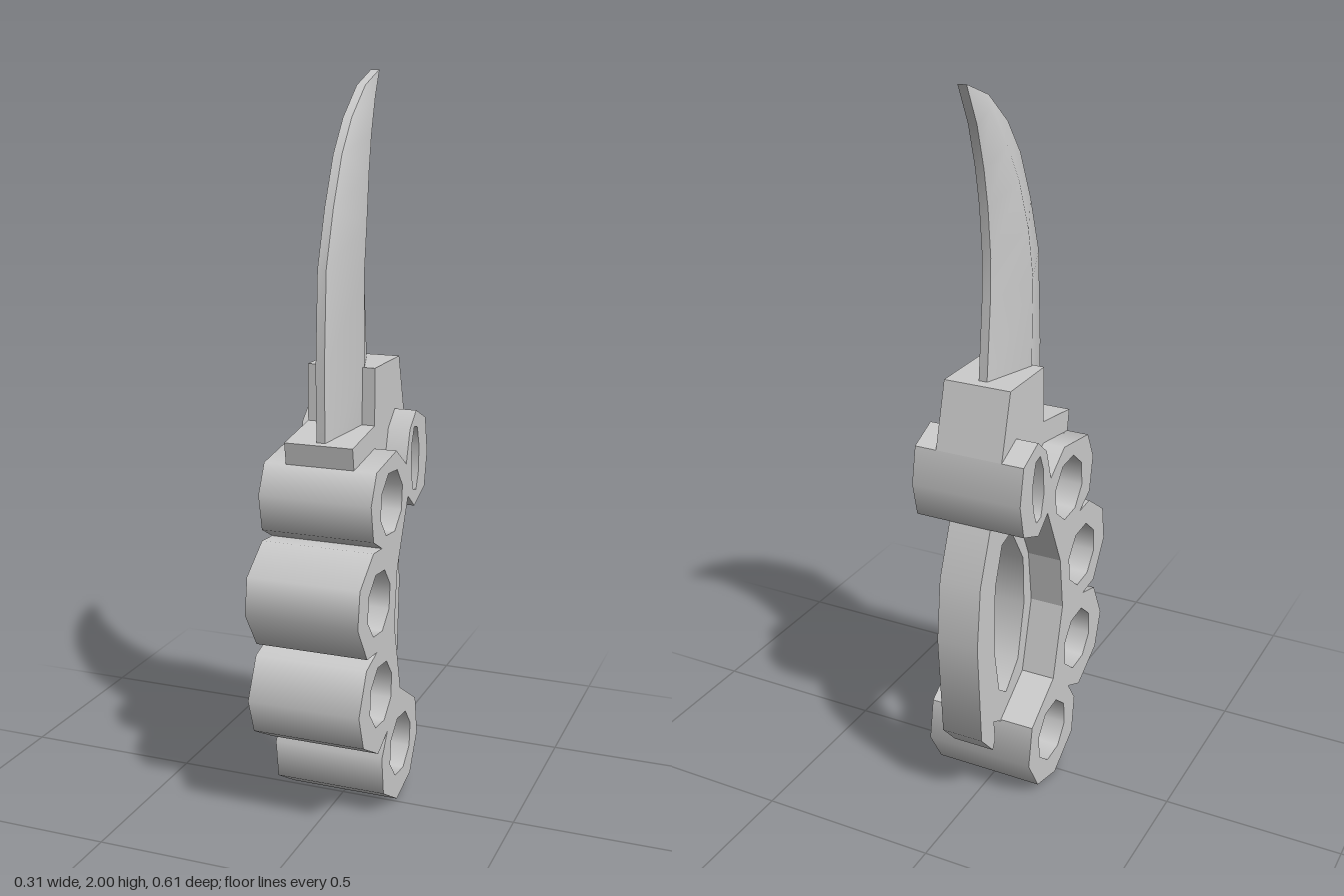
import * as THREE from 'three';
import { toCreasedNormals } from 'three/addons/utils/BufferGeometryUtils.js';

const steel = new THREE.MeshStandardMaterial({ color: 0xcccccc });
steel.name = 'steel';

const CREASE = 1.1;

// Side profiles are [u, y] with u running towards the back (u = -z)
const vectors = (pts) => pts.map(([u, y]) => new THREE.Vector2(u, y));
const cornerKey = (z, y) => `${Math.round(z * 1e4)},${Math.round(y * 1e4)}`;

function ringPoints(u, y, ru, ry, turn) {
  return Array.from({ length: 8 }, (_, i) => {
    const a = turn + (i * Math.PI) / 4;
    return [u + ru * Math.cos(a), y + ry * Math.sin(a)];
  });
}

// Rounds the walls of a slab, each flat face counting once; sharp corners stay flat
function smoothWalls(geo, sharp) {
  const pos = geo.attributes.position;
  const corners = new Map();
  const faceNormals = [];
  const points = Array.from({ length: pos.count }, (_, i) => new THREE.Vector3().fromBufferAttribute(pos, i));
  const keys = points.map((p) => cornerKey(p.z, p.y));
  for (let i = 0; i < pos.count; i += 3) {
    const n = new THREE.Vector3();
    new THREE.Triangle(points[i], points[i + 1], points[i + 2]).getNormal(n);
    faceNormals.push(n);
    for (let k = i; k < i + 3; k++) {
      const list = corners.get(keys[k]) ?? [];
      if (!list.some((m) => m.dot(n) > 0.9999)) list.push(n);
      corners.set(keys[k], list);
    }
  }
  keys.forEach((key, i) => {
    const face = faceNormals[Math.floor(i / 3)];
    const n = new THREE.Vector3();
    if (sharp.has(key)) n.copy(face);
    else corners.get(key).forEach((m) => { if (m.dot(face) > Math.cos(CREASE)) n.add(m); });
    n.normalize();
    geo.attributes.normal.setXYZ(i, n.x, n.y, n.z);
  });
}

// A third value in an outline point marks a sharp corner
function slab(name, outline, halfWidth, holes = []) {
  const shape = new THREE.Shape(vectors(outline));
  holes.forEach((h) => shape.holes.push(new THREE.Path(vectors(h))));
  const geo = new THREE.ExtrudeGeometry(shape, { depth: halfWidth * 2, bevelEnabled: false });
  geo.translate(0, 0, -halfWidth).rotateY(Math.PI / 2);
  smoothWalls(geo, new Set(outline.filter((p) => p[2]).map(([u, y]) => cornerKey(-u, y))));
  const mesh = new THREE.Mesh(geo, steel);
  mesh.name = name;
  return mesh;
}

// Curved blade lofted through six-sided sections
function makeBlade() {
  // front u, front y, back u, back y, half width at the ridge
  const sections = [
    [-0.16, 1.02, 0.155, 1.12, 0.063],
    [-0.165, 1.25, 0.15, 1.22, 0.063],
    [-0.15, 1.51, 0.127, 1.45, 0.063],
    [-0.10, 1.66, 0.124, 1.56, 0.061],
    [-0.04, 1.79, 0.137, 1.69, 0.053],
    [0.03, 1.88, 0.157, 1.79, 0.043],
    [0.13, 1.96, 0.19, 1.9, 0.029],
    [0.237, 2.0, 0.239, 2.0, 0.012],
  ];
  const edge = 0.012;
  const pos = [];
  const index = [];
  sections.forEach(([fu, fy, bu, by, w], k) => {
    const mu = (fu + bu) / 2;
    const my = (fy + by) / 2;
    pos.push(edge, fy, -fu, w, my, -mu, edge, by, -bu);
    pos.push(-edge, by, -bu, -w, my, -mu, -edge, fy, -fu);
    if (k === 0) return;
    for (let i = 0; i < 6; i++) {
      const a = (k - 1) * 6 + i;
      const b = (k - 1) * 6 + ((i + 1) % 6);
      index.push(a, b, b + 6, a, b + 6, a + 6);
    }
  });
  // Close the base
  for (let i = 1; i < 5; i++) index.push(0, i + 1, i);
  const geo = new THREE.BufferGeometry();
  geo.setAttribute('position', new THREE.Float32BufferAttribute(pos, 3));
  geo.setIndex(index);
  const mesh = new THREE.Mesh(toCreasedNormals(geo, 1.0), steel);
  mesh.name = 'blade';
  return mesh;
}

export function createModel() {
  const model = new THREE.Group();
  model.name = 'knuckleKnife';

  // Grip with four finger holes and a small ring at the upper back
  const grip = [
    [-0.17, 1.0], [-0.21, 0.92], [-0.19, 0.82], [-0.125, 0.785],
    [-0.19, 0.79], [-0.29, 0.72], [-0.305, 0.62], [-0.235, 0.515], [-0.16, 0.508],
    [-0.24, 0.485], [-0.295, 0.375], [-0.26, 0.275], [-0.145, 0.21], [-0.07, 0.245],
    [-0.115, 0.18], [-0.10, 0.07], [0.015, 0], [0.13, 0.03], [0.19, 0.13], [0.17, 0.245, 1],
    [0.035, 0.33, 1], [-0.02, 0.535, 1], [0, 0.69, 1], [0.085, 0.872, 1],
    [0.14, 0.83, 1], [0.228, 0.865], [0.25, 0.96], [0.23, 1.062, 1], [0.147, 1.099], [0.095, 1.056],
    [0.067, 0.967], [-0.015, 1.023],
  ];
  const fingerHoles = [[-0.05, 0.89], [-0.145, 0.64], [-0.125, 0.375], [0.04, 0.16]]
    .map(([u, y]) => ringPoints(u, y, 0.09, 0.09, 0.3));
  const smallHole = ringPoints(0.143, 0.965, 0.034, 0.096, 0.3);
  model.add(slab('grip', grip, 0.157, [...fingerHoles, smallHole]));

  // Narrow loop behind the fingers
  const loop = [
    [0.085, 0.9], [-0.02, 0.69], [-0.04, 0.535], [0.02, 0.3], [0.17, 0.24], [0.212, 0.265],
    [0.205, 0.2], [0.22, 0.175], [0.285, 0.245], [0.305, 0.545], [0.285, 0.72], [0.225, 0.87], [0.14, 0.85],
  ];
  const loopHole = [
    [0.105, 0.805], [0.16, 0.79], [0.2, 0.68], [0.207, 0.49], [0.18, 0.35],
    [0.138, 0.318], [0.064, 0.385], [0.027, 0.545], [0.033, 0.69],
  ];
  model.add(slab('palmLoop', loop, 0.06, [loopHole]));

  // Stepped guard holding the blade
  const guard = [
    [-0.18, 1.06], [-0.17, 1.0], [-0.015, 1.023], [0.067, 0.967], [0.1, 1.06],
    [0.147, 1.08], [0.2, 1.065], [0.23, 1.062], [0.18, 1.24], [-0.015, 1.24], [-0.015, 1.085],
  ];
  model.add(slab('guard', guard, 0.095));

  model.add(makeBlade());
  return model;
}
